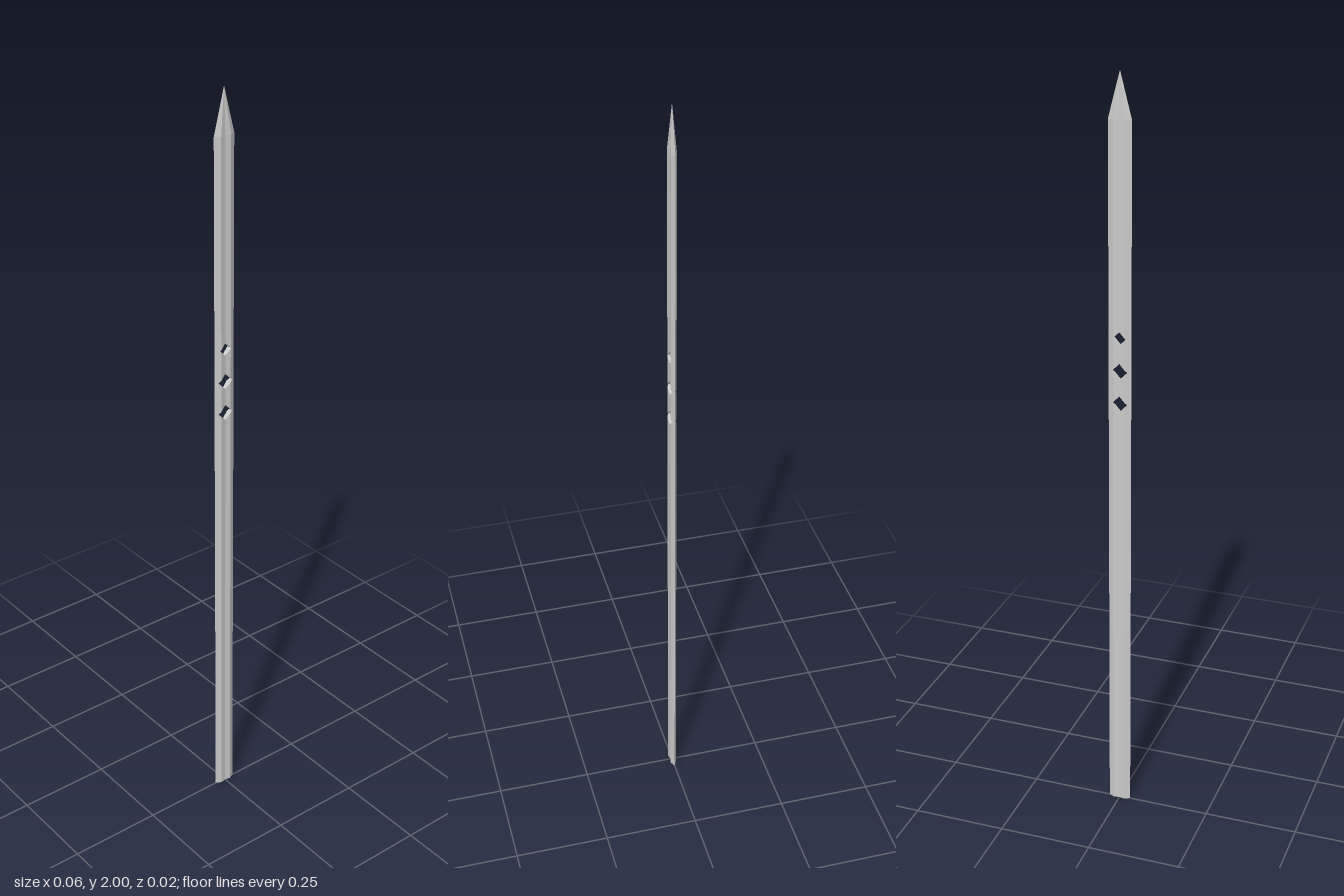
import * as THREE from 'three';

const EDGE = 0.03, RIDGE = 0.0148, RIDGE_Z = 0.0078, GROOVE_Z = 0.005;
const SHOULDER = 1.885, TIP = 2;

// Diamond holes through the blade: [centre height, half size]
const HOLES = [[1.172, 0.021], [1.258, 0.021], [1.345, 0.017]];

// Half the width of the hole at a given height
const gap = y => Math.max(0, ...HOLES.map(([c, s]) => s - Math.abs(y - c)));

// Half thickness: shallow groove, then ridge, then bevel to a sharp edge
const thickness = x => x < RIDGE
  ? GROOVE_Z + (RIDGE_Z - GROOVE_Z) * x / RIDGE
  : RIDGE_Z * (EDGE - x) / (EDGE - RIDGE);

// Cross-section of the +x half, from front centre round the edge to back centre
function section(y) {
  const k = y > SHOULDER ? (TIP - y) / (TIP - SHOULDER) : 1;
  const inner = gap(y), mid = Math.max(inner, RIDGE);
  return [[inner, 1], [mid, 1], [EDGE, 0], [mid, -1], [inner, -1]]
    .map(([x, s]) => [x * k, y, s * thickness(x) * k]);
}

function halfBlade(side) {
  const pos = [];
  const tri = (a, b, c) => {
    const order = side > 0 ? [a, b, c] : [a, c, b];
    order.forEach(([x, y, z]) => pos.push(x * side, y, z));
  };

  // Levels at the ends, and at every corner where a hole meets a ridge
  const levels = [0, SHOULDER, TIP];
  for (const [c, s] of HOLES) {
    for (const d of [-s, RIDGE - s, 0, s - RIDGE, s]) levels.push(c + d);
  }
  levels.sort((a, b) => a - b);

  const rows = levels.map(section);
  for (let j = 0; j < rows.length - 1; j++) {
    const lo = rows[j], hi = rows[j + 1];
    const open = gap((levels[j] + levels[j + 1]) / 2) > 1e-6;
    // The last strip is the inner wall of a hole
    for (let i = 0; i < (open ? 5 : 4); i++) {
      const n = (i + 1) % 5;
      tri(lo[i], lo[n], hi[n]);
      tri(lo[i], hi[n], hi[i]);
    }
  }

  // Flat bottom end
  const base = rows[0];
  for (let i = 1; i < 4; i++) tri(base[0], base[i + 1], base[i]);

  const geo = new THREE.BufferGeometry();
  geo.setAttribute('position', new THREE.Float32BufferAttribute(pos, 3));
  geo.computeVertexNormals();
  return geo;
}

export function createModel() {
  const group = new THREE.Group();
  group.name = 'blade';
  const material = new THREE.MeshStandardMaterial({ color: 0xcccccc, flatShading: true });
  for (const [name, side] of [['leftBladeHalf', 1], ['rightBladeHalf', -1]]) {
    const mesh = new THREE.Mesh(halfBlade(side), material);
    mesh.name = name;
    group.add(mesh);
  }
  return group;
}
